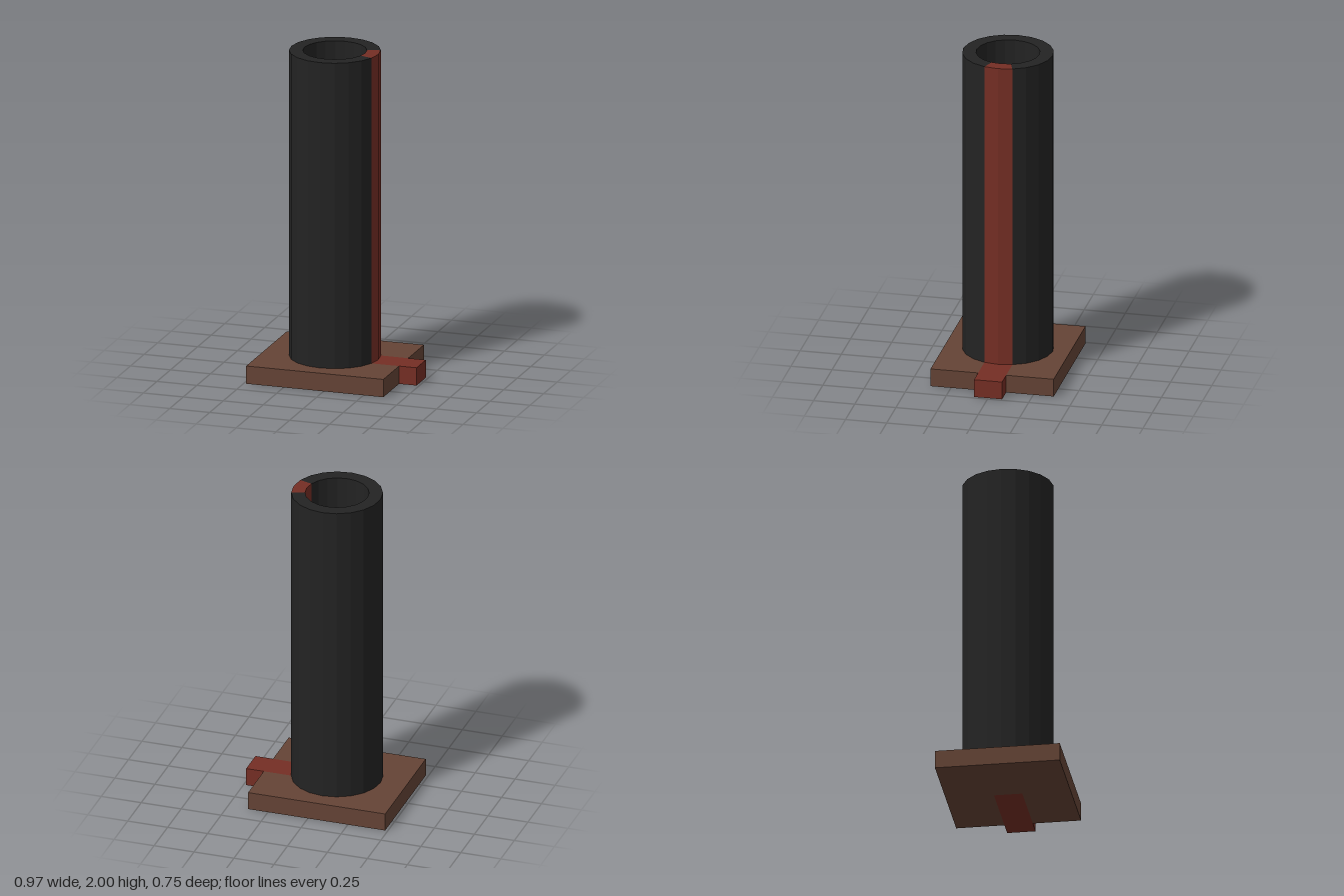
import * as THREE from 'three';

const flat = (name, color) => new THREE.MeshStandardMaterial({ name, color, flatShading: true });

export function createModel() {
  const brown = flat('brown', 0x644335);
  const red = flat('red', 0x752e24);
  const black = flat('black', 0x232323);
  const tan = flat('tan', 0x9a8866);

  const group = new THREE.Group();
  const add = (name, geometry, material, x = 0, y = 0, z = 0) => {
    const mesh = new THREE.Mesh(geometry, material);
    mesh.name = name;
    mesh.position.set(x, y, z);
    group.add(mesh);
  };

  const baseHeight = 0.11, tubeX = -0.056, outer = 0.272, inner = 0.19;
  const left = -0.484, edge = 0.374, end = 0.484, slotStart = -0.05, slotHalf = 0.085;

  // Base plate with a slot that takes the red bar
  const plate = new THREE.Shape([
    [left, -edge], [edge, -edge], [edge, -slotHalf], [slotStart, -slotHalf],
    [slotStart, slotHalf], [edge, slotHalf], [edge, edge], [left, edge],
  ].map(([x, y]) => new THREE.Vector2(x, y)));
  const plateGeometry = new THREE.ExtrudeGeometry(plate, { depth: baseHeight, bevelEnabled: false });
  plateGeometry.rotateX(-Math.PI / 2);
  add('basePlate', plateGeometry, brown);

  // Bar lying in the slot and sticking out past the plate
  add('baseBar', new THREE.BoxGeometry(end - slotStart, baseHeight, slotHalf * 2), red,
    (slotStart + end) / 2, baseHeight / 2, 0);

  // Twenty-sided tube wall, two sides of which form the red stripe
  const wall = [
    [inner, baseHeight], [outer, baseHeight], [outer, 2], [inner, 2], [inner, baseHeight],
  ].map(([r, y]) => new THREE.Vector2(r, y));
  const side = Math.PI / 10;
  const wallSection = (first, count) => new THREE.LatheGeometry(wall, count, first * side, count * side);
  add('tubeWall', wallSection(6, 18), black, tubeX);
  add('tubeStripe', wallSection(4, 2), red, tubeX);

  // Ball resting at the bottom of the tube
  add('ball', new THREE.SphereGeometry(inner, 20, 14), tan, tubeX, baseHeight + inner, 0);

  return group;
}
